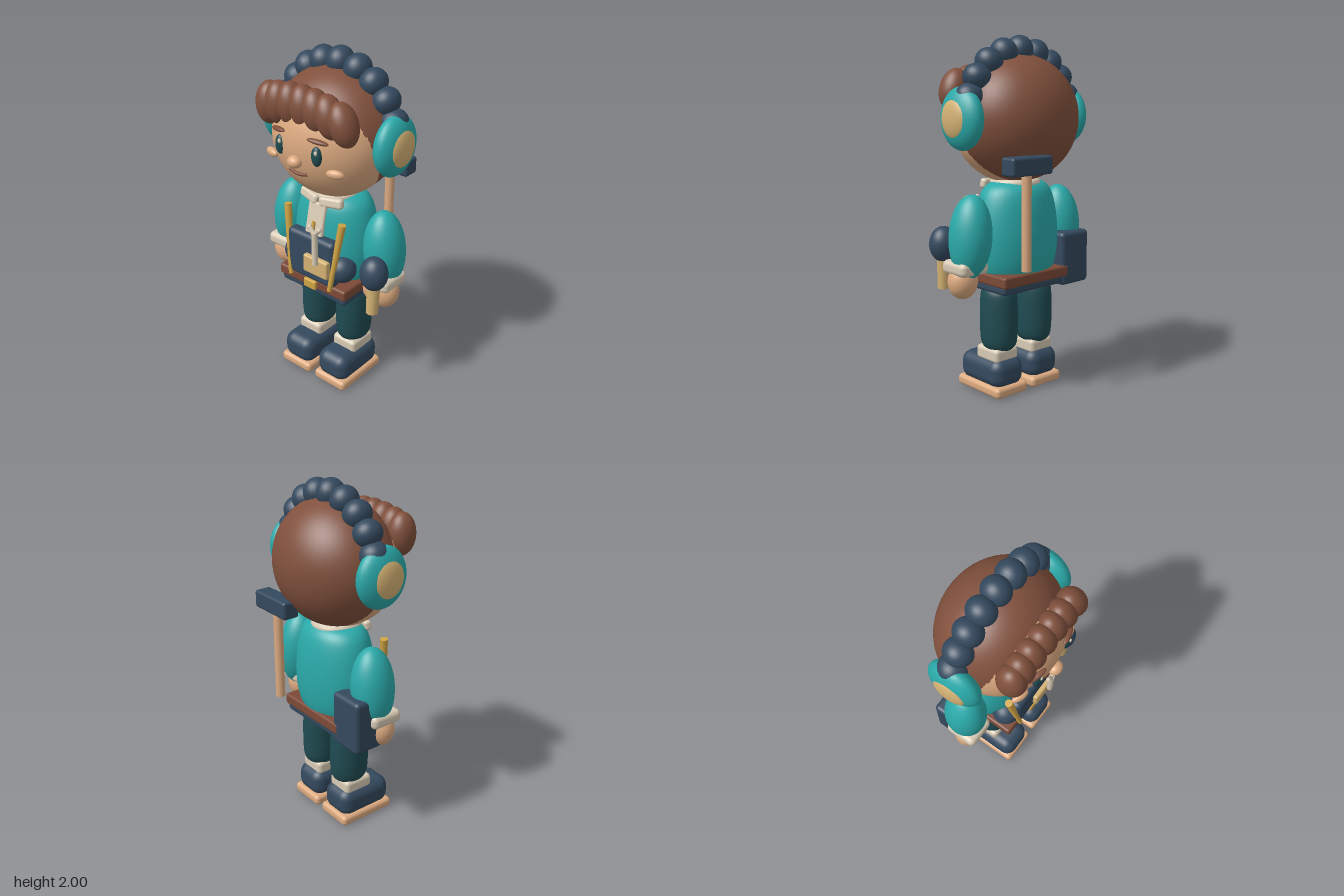
import * as THREE from 'three';
import { RoundedBoxGeometry } from 'three/addons/geometries/RoundedBoxGeometry.js';

const mat = (name, color) => {
  const m = new THREE.MeshStandardMaterial({ color });
  m.name = name;
  return m;
};

export function createModel() {
  const root = new THREE.Group();
  root.name = 'character';
  const teal = mat('teal', 0x2ba9a9), navy = mat('navy', 0x34495e), hair = mat('hair brown', 0x80503c);
  const skin = mat('skin', 0xdcaa80), trouser = mat('dark teal', 0x1f4b51), cream = mat('cream', 0xd8cbb5);
  const gold = mat('gold', 0xd0a445), tan = mat('tan', 0xd4b274), leather = mat('leather', 0x7c4a38);

  const add = (name, geo, m, [x, y, z], [rx, ry, rz] = [0, 0, 0]) => {
    const mesh = new THREE.Mesh(geo, m);
    mesh.name = name;
    mesh.position.set(x, y, z);
    mesh.rotation.set(rx, ry, rz);
    root.add(mesh);
    return mesh;
  };
  const blob = (name, m, pos, r, rot, seg = 32) =>
    add(name, new THREE.SphereGeometry(1, seg, Math.round(seg * 0.7)).scale(...r), m, pos, rot);
  const box = (name, m, pos, s, radius, rot) =>
    add(name, new RoundedBoxGeometry(s[0], s[1], s[2], 4, radius), m, pos, rot);
  // Round bar between two points
  const bar = (name, m, a, b, r0, r1 = r0) => {
    const p = new THREE.Vector3(...a), q = new THREE.Vector3(...b), d = q.clone().sub(p);
    const mesh = add(name, new THREE.CylinderGeometry(r1, r0, d.length(), 16), m,
      p.clone().add(q).multiplyScalar(0.5).toArray());
    mesh.quaternion.setFromUnitVectors(new THREE.Vector3(0, 1, 0), d.normalize());
    return mesh;
  };
  // Smooth turned body from a few profile points
  const turned = (name, m, pts, zScale, pos) => {
    const curve = new THREE.SplineCurve(pts.map(p => new THREE.Vector2(...p)));
    const profile = curve.getPoints(32).map(p => new THREE.Vector2(Math.max(p.x, 0), p.y));
    return add(name, new THREE.LatheGeometry(profile, 36).scale(1, 1, zScale), m, pos);
  };

  // Head and hair
  blob('head', skin, [0, 1.537, 0], [0.355, 0.346, 0.31], undefined, 48);
  blob('hairCap', hair, [0, 1.553, -0.03], [0.367, 0.353, 0.317], undefined, 48);
  [-0.252, -0.185, -0.1, -0.012, 0.075, 0.16, 0.248].forEach(x =>
    blob('fringeLock', hair, [x, 1.745 - 0.5 * x * x, 0.222], [0.074, 0.118, 0.08], [0, 0, 0.2 + 0.7 * x]));

  // Face
  blob('nose', skin, [0, 1.475, 0.315], [0.042, 0.034, 0.036]);
  const smile = new THREE.QuadraticBezierCurve3(new THREE.Vector3(-0.062, 1.411, 0.283),
    new THREE.Vector3(0, 1.389, 0.3), new THREE.Vector3(0.062, 1.411, 0.283));
  add('mouth', new THREE.TubeGeometry(smile, 16, 0.0095, 10), hair, [0, 0, 0]);
  for (const s of [-1, 1]) {
    blob('eye', trouser, [s * 0.125, 1.53, 0.285], [0.031, 0.055, 0.024]);
    blob('eyeGlint', cream, [s * 0.125 + 0.01, 1.556, 0.305], [0.01, 0.013, 0.007], undefined, 12);
    blob('cheek', skin, [s * 0.22, 1.447, 0.253], [0.05, 0.025, 0.022], [0, s * 0.3, 0]);
    blob('brow', hair, [s * 0.135, 1.613, 0.287], [0.06, 0.013, 0.018], [0, s * 0.3, -s * 0.12]);
  }

  // Ear muffs on a beaded band
  for (let i = -4; i <= 4; i++) {
    const a = i * Math.PI / 10;
    blob('bandBead', navy, [0.37 * Math.sin(a), 1.56 + 0.362 * Math.cos(a), -0.05],
      [0.074, 0.08, 0.08], [0, 0, -a], 24);
  }
  for (const s of [-1, 1]) {
    blob('earMuff', teal, [s * 0.383, 1.56, -0.025], [0.078, 0.168, 0.155]);
    blob('earMuffCap', tan, [s * 0.425, 1.56, -0.022], [0.043, 0.112, 0.105]);
  }

  // Torso, collar and placket
  turned('torso', teal, [[0, 0.57], [0.12, 0.585], [0.2, 0.64], [0.25, 0.75], [0.265, 0.88], [0.258, 1],
    [0.238, 1.1], [0.205, 1.168], [0.14, 1.205], [0, 1.215]], 0.74, [0, 0, -0.025]);
  add('collar', new THREE.TorusGeometry(0.115, 0.028, 12, 32).rotateX(Math.PI / 2), cream, [0, 1.195, -0.015]);
  for (const s of [-1, 1])
    box('collarFlap', cream, [s * 0.076, 1.183, 0.115], [0.145, 0.058, 0.045], 0.018, [-0.2, s * 0.2, s * 0.12]);
  box('placket', cream, [0, 1.06, 0.153], [0.122, 0.22, 0.032], 0.012, [-0.22, 0, 0]);
  bar('frontPin', gold, [0, 0.97, 0.192], [0, 1.065, 0.174], 0.011);

  // Belt
  box('belt', leather, [0, 0.678, 0], [0.49, 0.065, 0.41], 0.014);
  box('beltLining', navy, [0, 0.632, 0], [0.475, 0.055, 0.385], 0.02);
  box('buckle', gold, [0, 0.675, 0.208], [0.088, 0.055, 0.03], 0.008);

  // Front pouch with pocket, holders and a forked tool
  add('pouchRoll', new THREE.CapsuleGeometry(0.08, 0.33, 8, 24).rotateZ(Math.PI / 2), navy, [0, 0.8, 0.125]);
  box('pouch', navy, [0, 0.845, 0.178], [0.335, 0.29, 0.08], 0.03);
  box('pouchPocket', tan, [0.063, 0.825, 0.226], [0.175, 0.11, 0.04], 0.012);
  bar('forkShaft', cream, [0.082, 0.86, 0.26], [0.082, 1.06, 0.262], 0.017);
  for (const s of [-1, 1]) {
    bar('forkProng', cream, [0.082, 1.05, 0.262], [0.082 + s * 0.034, 1.088, 0.262], 0.013);
    blob('forkTip', cream, [0.082 + s * 0.034, 1.088, 0.262], [0.014, 0.014, 0.014], undefined, 12);
    bar('stickHolder', gold, [s * 0.145, 0.69, 0.215], [s * 0.198, 1.11, 0.168], 0.014, 0.022);
  }

  // Arms, legs and boots
  for (const s of [-1, 1]) {
    blob('sleeve', teal, [s * 0.338, 0.925, -0.03], [0.115, 0.232, 0.125], [0, 0, s * 0.08]);
    box('cuff', cream, [s * 0.355, 0.76, -0.005], [0.186, 0.078, 0.195], 0.03);
    blob('hand', skin, [s * 0.37, 0.68, 0], [0.085, 0.098, 0.08]);
    blob('thumb', skin, [s * 0.308, 0.69, 0.03], [0.056, 0.078, 0.055]);
    turned('leg', trouser, [[0, 0.245], [0.055, 0.25], [0.09, 0.285], [0.099, 0.36], [0.1, 0.44], [0.099, 0.52],
      [0.09, 0.595], [0.055, 0.625], [0, 0.63]], 1.18, [s * 0.133, 0, -0.025]);
    box('sock', cream, [s * 0.135, 0.23, -0.012], [0.165, 0.085, 0.185], 0.025);
    box('boot', navy, [s * 0.134, 0.128, 0.035], [0.217, 0.17, 0.35], 0.065);
    box('sole', skin, [s * 0.134, 0.033, 0.033], [0.23, 0.062, 0.365], 0.024);
  }

  // Round-headed brush by the left hand
  blob('brushHead', navy, [0.395, 0.87, 0.137], [0.08, 0.1, 0.076]);
  bar('brushHandle', tan, [0.393, 0.62, 0.143], [0.395, 0.8, 0.136], 0.034, 0.038);

  // Hip bag
  box('hipBag', navy, [-0.308, 0.745, -0.108], [0.215, 0.31, 0.185], 0.025);
  box('hipBagClasp', gold, [-0.297, 0.805, -0.012], [0.065, 0.05, 0.02], 0.008);

  // Mallet on the back
  bar('malletHandle', skin, [0.168, 0.755, -0.29], [0.168, 1.3, -0.29], 0.027);
  box('malletHead', navy, [0.168, 1.32, -0.296], [0.285, 0.1, 0.1], 0.016);

  return root;
}
